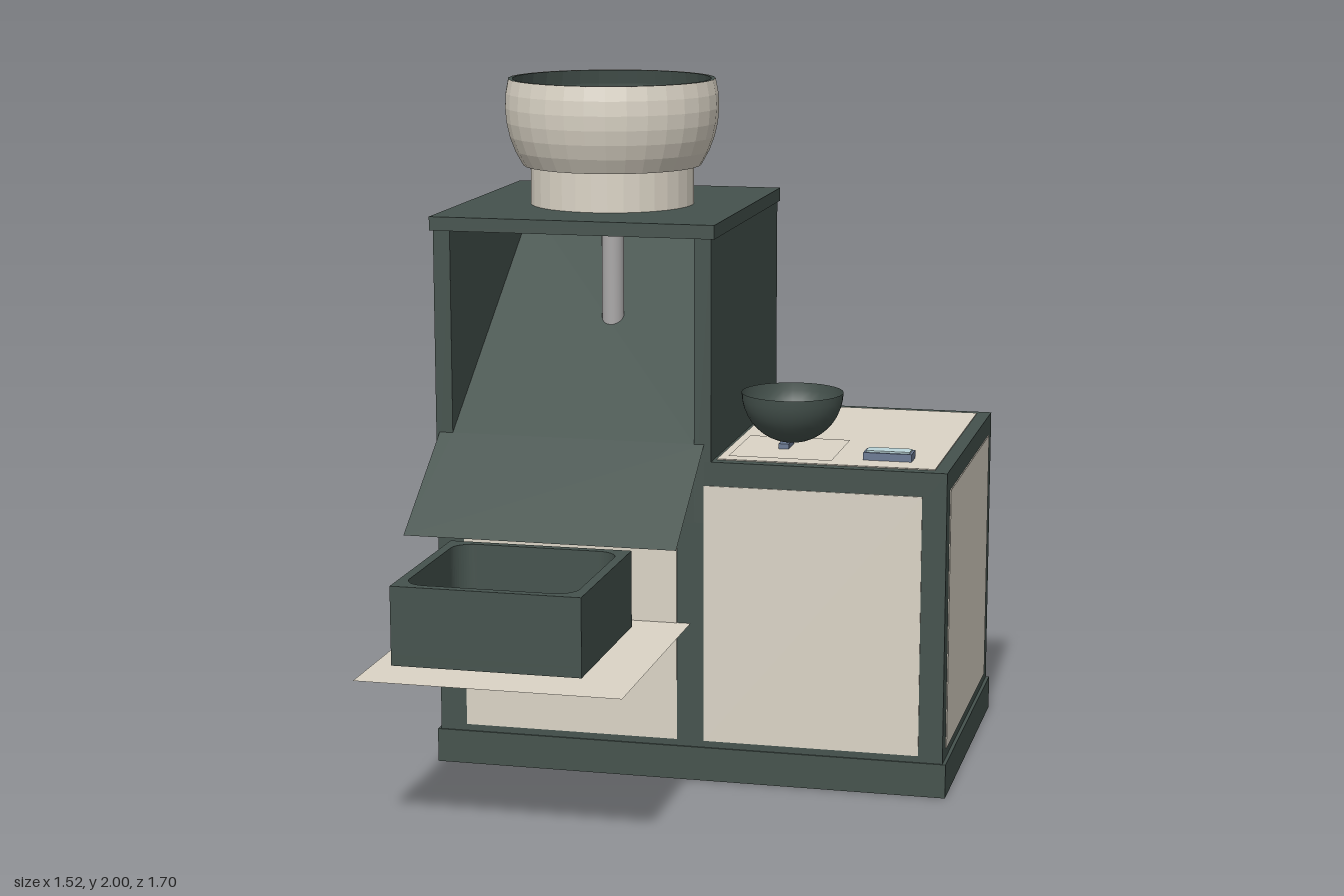
import * as THREE from 'three';

const mat = (color, extra = {}) => new THREE.MeshStandardMaterial({ color, ...extra });
const GREEN = mat(0x45524d), CREAM = mat(0xdbd4c6), STEEL = mat(0x8d9db5), GREY = mat(0xaaa8a8);
const SLATE = mat(0x6b7a93), GLASS = mat(0xbcd6da);
const GREEN_THIN = mat(0x45524d, { side: THREE.DoubleSide });
const CREAM_THIN = mat(0xdbd4c6, { side: THREE.DoubleSide });
const GREEN_SHELL = mat(0x45524d, { side: THREE.DoubleSide, flatShading: true });
const CREAM_SHELL = mat(0xdbd4c6, { side: THREE.DoubleSide, flatShading: true });

export function createModel() {
  const model = new THREE.Group();
  model.name = 'grinderCabinet';

  const add = (name, geometry, material, x = 0, y = 0, z = 0, parent = model) => {
    const mesh = new THREE.Mesh(geometry, material);
    mesh.name = name;
    mesh.position.set(x, y, z);
    parent.add(mesh);
    return mesh;
  };
  // Box given by its limits on each axis
  const box = (name, material, x0, x1, y0, y1, z0, z1, parent = model) =>
    add(name, new THREE.BoxGeometry(x1 - x0, y1 - y0, z1 - z0), material,
      (x0 + x1) / 2, (y0 + y1) / 2, (z0 + z1) / 2, parent);
  const group = (name, x = 0, y = 0, z = 0) => {
    const g = new THREE.Group();
    g.name = name;
    g.position.set(x, y, z);
    model.add(g);
    return g;
  };
  const shapeOf = pts => new THREE.Shape(pts.map(p => new THREE.Vector2(...p)));
  const circle = (x, y, r) => new THREE.Path().absarc(x, y, r, 0, Math.PI * 2, true);
  const lathe = (pts, n = 32) => new THREE.LatheGeometry(pts.map(p => new THREE.Vector2(...p)), n);

  const BACK = -0.845, FRONT = 0.07, T = 0.003;

  // Cabinet: plinth, low counter and lower half of the tower
  box('plinth', GREEN, -0.76, 0.76, 0, 0.1, -0.85, 0.075);
  box('counterBody', GREEN, 0.05, 0.75, 0.1, 0.95, BACK, FRONT);
  box('towerBase', GREEN, -0.75, 0.05, 0.1, 0.77, BACK, FRONT);

  // Hollow upper tower with an open front
  const tower = group('towerUpper');
  box('leftTowerWall', GREEN, 0.02, 0.07, 0.77, 1.6, BACK, FRONT, tower);
  box('rightTowerWall', GREEN, -0.75, -0.7, 0.77, 1.6, BACK, FRONT, tower);
  box('backTowerWall', GREEN, -0.7, 0.02, 0.77, 1.6, BACK, -0.79, tower);
  box('frontTowerRail', GREEN, -0.7, 0.02, 0.77, 0.98, 0.03, FRONT, tower);
  box('towerLid', GREEN, -0.76, 0.08, 1.59, 1.63, -0.84, 0.075, tower);

  // Cream inlay panels
  const panels = group('inlayPanels');
  box('frontTowerPanel', CREAM, -0.67, -0.03, 0.12, 0.89, FRONT - T, FRONT + T, panels);
  box('frontCounterPanel', CREAM, 0.05, 0.68, 0.12, 0.88, FRONT - T, FRONT + T, panels);
  box('leftSidePanel', CREAM, 0.75 - T, 0.75 + T, 0.13, 0.89, -0.78, 0.01, panels);
  box('rightSidePanel', CREAM, -0.75 - T, -0.75 + T, 0.13, 1.55, -0.78, 0.01, panels);
  box('counterTopPanel', CREAM, 0.08, 0.71, 0.95 - T, 0.95 + T, -0.81, 0.035, panels);
  const backOutline = shapeOf([[-0.71, 0.13], [0.71, 0.13], [0.71, 0.89], [0.02, 0.89], [0.02, 1.55], [-0.71, 1.55]]);
  add('backPanel', new THREE.ExtrudeGeometry(backOutline, { depth: 2 * T, bevelEnabled: false }),
    CREAM, 0, 0, BACK - T, panels);

  // Sloping chute: narrow inside the tower, wider outside it
  const chute = new THREE.ShapeGeometry(shapeOf([
    [-0.74, 0.77], [0.05, 0.77], [0.05, 1], [0.02, 1], [0.02, 1.56], [-0.7, 1.56], [-0.7, 1], [-0.74, 1]]));
  const cp = chute.attributes.position;
  for (let i = 0; i < cp.count; i++) cp.setZ(i, 0.41 - (cp.getY(i) - 0.77) * 1.48);
  chute.computeVertexNormals();
  add('chute', chute, GREEN_THIN);

  // Outlet pipe below the lid
  add('outletPipe', new THREE.CylinderGeometry(0.033, 0.033, 0.35, 24), GREY, -0.33, 1.415, -0.36);

  // Hopper: neck, round outer bowl, dark lining
  const hopper = group('hopper', -0.33, 0, -0.36);
  const arc = (r, y0, y1) => Array.from({ length: 7 }, (_, i) => {
    const y = y0 + (y1 - y0) * i / 6;
    return [Math.sqrt(r * r - (y - 1.92) ** 2), y];
  });
  add('hopperNeck', lathe([[0.243, 1.63], [0.243, 1.745]]), CREAM_SHELL, 0, 0, 0, hopper);
  add('hopperBowl', lathe([[0.243, 1.745], ...arc(0.317, 1.745, 2)]), CREAM_SHELL, 0, 0, 0, hopper);
  add('hopperLining', lathe([[0.225, 1.635], [0.225, 1.745], ...arc(0.305, 1.75, 2)]), GREEN_SHELL, 0, 0, 0, hopper);
  add('hopperRim', new THREE.RingGeometry(0.294, 0.307, 32).rotateX(-Math.PI / 2), GREEN_THIN, 0, 1.999, 0, hopper);

  // Perforated disc and roller in the hopper
  const disc = new THREE.Shape().absarc(0, 0, 0.2, 0, Math.PI * 2);
  for (const s of [-1, 1]) {
    for (const x of [-0.072, 0, 0.072]) disc.holes.push(circle(x, s * 0.125, 0.024));
    for (const x of [-0.145, -0.036, 0.036, 0.145]) disc.holes.push(circle(x, s * 0.066, 0.024));
  }
  const discGeo = new THREE.ExtrudeGeometry(disc, { depth: 0.015, bevelEnabled: false, curveSegments: 24 });
  add('sieveDisc', discGeo.rotateX(-Math.PI / 2), STEEL, 0, 1.645, 0, hopper);
  add('roller', new THREE.CylinderGeometry(0.078, 0.078, 0.335, 32).rotateZ(Math.PI / 2), STEEL, -0.005, 1.735, 0, hopper);

  // Collecting tray: square outside, rounded inside
  const tray = group('tray', -0.365, 0.52, 0.585);
  const h = 0.265, i = 0.238, r = 0.06, q = Math.PI / 2;
  const rim = shapeOf([[-h, -h], [h, -h], [h, h], [-h, h]]);
  const hollow = new THREE.Path();
  [[1, 1], [-1, 1], [-1, -1], [1, -1]].forEach(([sx, sy], k) =>
    hollow.absarc(sx * (i - r), sy * (i - r), r, k * q, (k + 1) * q));
  hollow.closePath();
  rim.holes.push(hollow);
  const rimGeo = new THREE.ExtrudeGeometry(rim, { depth: 0.19, bevelEnabled: false, curveSegments: 6 });
  add('trayWalls', rimGeo.rotateX(-q), GREEN, 0, 0.03, 0, tray);
  box('trayFloor', GREEN, -h, h, 0, 0.03, -h, h, tray);

  // Thin shelf under the tray
  add('trayShelf', new THREE.PlaneGeometry(0.75, 0.78).rotateX(-q), CREAM_THIN, -0.365, 0.47, 0.46);

  // Scale on the counter: mat, support, small bowl
  add('scaleMat', new THREE.PlaneGeometry(0.3, 0.3).rotateX(-q), CREAM_THIN, 0.26, 0.96, -0.13);
  box('bowlSupport', SLATE, 0.23, 0.26, 0.95, 0.975, -0.19, -0.11);
  const cup = Array.from({ length: 11 }, (_, k) => [0.148 * Math.sin(k / 10 * q), 1.12 - 0.148 * Math.cos(k / 10 * q)]);
  add('smallBowl', lathe(cup), GREEN_THIN, 0.26, 0, -0.16);

  // Display
  box('displayCase', SLATE, 0.49, 0.63, 0.95, 0.975, -0.11, -0.045);
  box('displayScreen', GLASS, 0.497, 0.623, 0.97, 0.98, -0.103, -0.052);

  return model;
}
